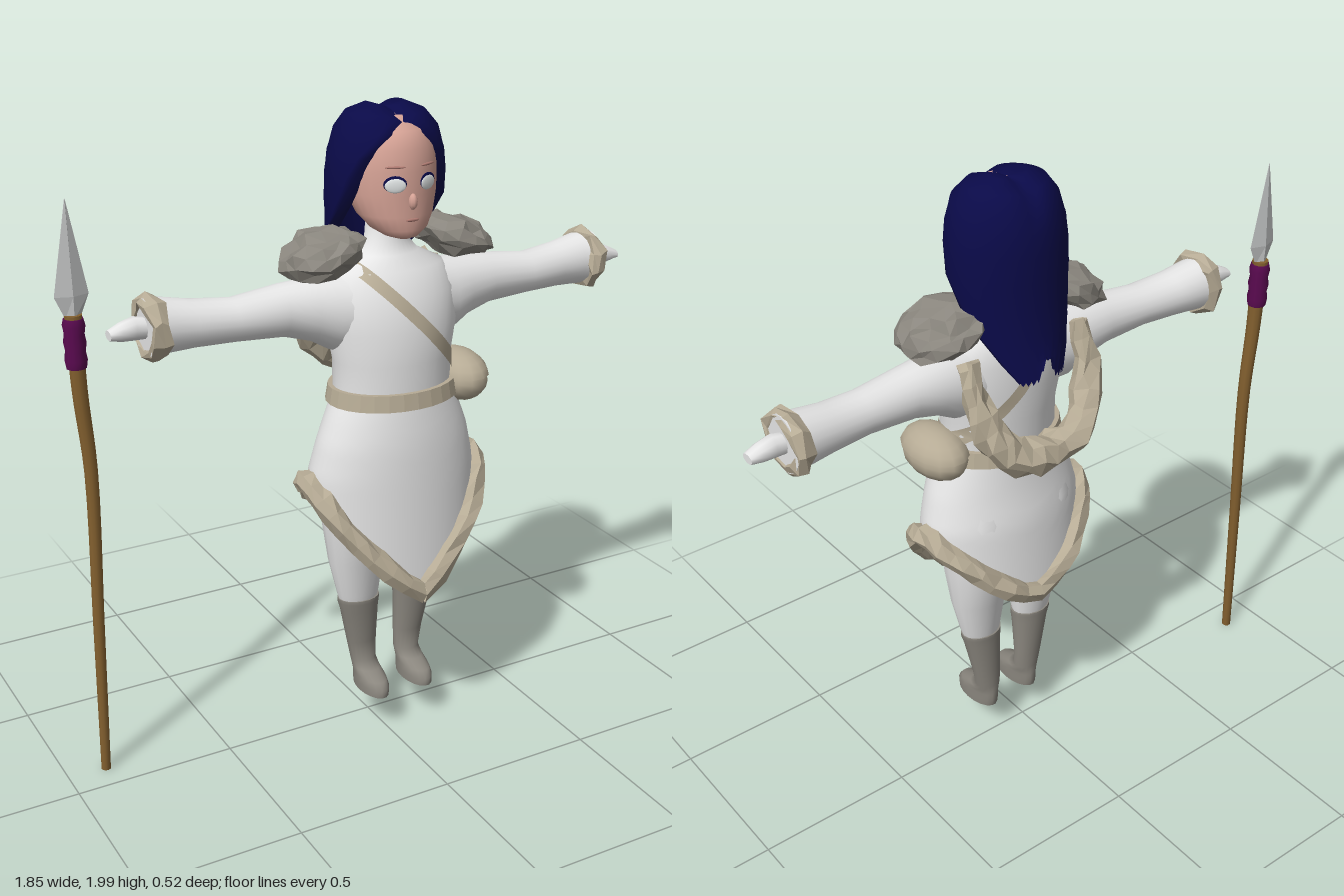
import * as THREE from 'three';

const V = (x, y, z) => new THREE.Vector3(x, y, z);
const mat = (name, color, side = THREE.FrontSide) => {
  const m = new THREE.MeshStandardMaterial({ color, side });
  m.name = name;
  return m;
};

// Skin a list of point rings; caps close the two ends
function loft(rings, { closed = true, caps = false } = {}) {
  const n = rings[0].length, pos = [], idx = [];
  const add = (p) => pos.push(p.x, p.y, p.z) / 3 - 1;
  rings.forEach((r) => r.forEach(add));
  for (let i = 0; i < rings.length - 1; i++) {
    for (let j = 0; j < (closed ? n : n - 1); j++) {
      const a = i * n + j, b = i * n + (j + 1) % n;
      idx.push(a, a + n, b, b, a + n, b + n);
    }
  }
  if (caps) {
    [rings[0], rings[rings.length - 1]].forEach((r, end) => {
      const c = add(r.reduce((s, p) => s.add(p), V(0, 0, 0)).divideScalar(n));
      const k = r.map(add);
      k.forEach((a, j) => (end ? idx.push(c, k[(j + 1) % n], a) : idx.push(c, a, k[(j + 1) % n])));
    });
  }
  const g = new THREE.BufferGeometry();
  g.setAttribute('position', new THREE.Float32BufferAttribute(pos, 3));
  g.setIndex(idx);
  g.computeVertexNormals();
  return g;
}

// Ellipse ring around direction t, with u as its first axis
function ring(c, t, u, ru, rv, n) {
  const v = u.clone().cross(t);
  return Array.from({ length: n }, (_, j) => {
    const a = (j / n) * Math.PI * 2;
    return c.clone().addScaledVector(u, ru * Math.cos(a)).addScaledVector(v, rv * Math.sin(a));
  });
}
// Horizontal ring from half-width and front / back depth
const level = (x, y, rx, zf, zb, n = 24) =>
  ring(V(x, y, (zf + zb) / 2), V(0, 1, 0), V(1, 0, 0), rx, (zf - zb) / 2, n);

// Tube with varying radius along a smooth path
function sweep(points, radius, sides, steps, ref, closed = false) {
  const curve = new THREE.CatmullRomCurve3(points, closed), rings = [];
  for (let i = 0; i <= steps; i++) {
    const k = i / steps, t = curve.getTangent(k);
    const u = ref.clone().cross(t).normalize();
    rings.push(ring(curve.getPoint(k), t, u, radius(k), radius(k), sides));
  }
  return loft(rings, { caps: !closed });
}

// Faceted look, with a repeatable position-based roughness for fur
function facet(geo, amount = 0) {
  const g = geo.index ? geo.toNonIndexed() : geo, p = g.attributes.position;
  const hash = (a, b, c) => {
    const s = Math.sin(Math.round(a * 1e4) * 0.127 + Math.round(b * 1e4) * 0.311 + Math.round(c * 1e4) * 0.747) * 4375.85;
    return (s - Math.floor(s) - 0.5) * amount;
  };
  for (let i = 0; i < p.count; i++) {
    const x = p.getX(i), y = p.getY(i), z = p.getZ(i);
    p.setXYZ(i, x + hash(x, y, z), y + hash(y, z, x), z + hash(z, x, y));
  }
  g.computeVertexNormals();
  return g;
}

// Dress profile: height, half-width, front, back
const PROFILE = [
  [0.5, 0.295, 0.23, -0.15], [0.9, 0.275, 0.215, -0.12], [1.0, 0.25, 0.21, -0.1], [1.08, 0.22, 0.2, -0.09],
  [1.15, 0.19, 0.19, -0.085], [1.25, 0.19, 0.19, -0.09], [1.35, 0.21, 0.19, -0.1], [1.45, 0.21, 0.165, -0.1],
  [1.52, 0.18, 0.125, -0.09], [1.56, 0.1, 0.09, -0.07], [1.6, 0.065, 0.07, -0.05], [1.66, 0.058, 0.065, -0.05],
];
function profileAt(y) {
  const i = Math.max(1, PROFILE.findIndex((s) => s[0] >= y));
  const a = PROFILE[i - 1], b = PROFILE[i], k = (y - a[0]) / (b[0] - a[0]);
  return [1, 2, 3].map((c) => a[c] + (b[c] - a[c]) * k);
}
function onDress(theta, y, out = 0) {
  const [rx, zf, zb] = profileAt(y);
  return V(Math.sin(theta) * (rx + out), y, (zf + zb) / 2 + Math.cos(theta) * ((zf - zb) / 2 + out));
}
function hemY(theta) {
  const s = Math.abs(Math.sin(theta));
  return Math.cos(theta) > 0 ? 0.53 + 0.25 * s + 0.1 * s ** 4 : 0.65 + 0.23 * s ** 1.5;
}

export function createModel() {
  const cloth = mat('white cloth', 0xe6e6e6, THREE.DoubleSide), skin = mat('skin', 0xd6a396);
  const lip = mat('lip', 0xb27d74), hairMat = mat('dark blue hair', 0x0a0a48, THREE.DoubleSide);
  const trim = mat('beige trim', 0xb6ab95, THREE.DoubleSide), grey = mat('grey fur and leather', 0x8a867e);
  const wood = mat('wood', 0x83602f), wrap = mat('purple wrap', 0x5a0a50);
  const metal = mat('steel', 0xc2c4c4), eyeMat = mat('eye white', 0xe2e6e6);
  const model = new THREE.Group(), figure = new THREE.Group();
  figure.name = 'figure';
  figure.position.x = 0.055;
  model.add(figure);
  const add = (name, geo, m, parent = figure) => {
    const mesh = new THREE.Mesh(geo, m);
    mesh.name = name;
    parent.add(mesh);
    return mesh;
  };

  // Bodice, and the open skirt with a pointed hem
  add('bodice', loft(PROFILE.slice(4).map(([y, ...r]) => level(0, y, ...r, 32)), { caps: true }), cloth);
  const angles = Array.from({ length: 48 }, (_, j) => (j / 48) * Math.PI * 2);
  const skirt = Array.from({ length: 13 }, (_, i) =>
    angles.map((t) => onDress(t, 1.15 + (hemY(t) - 1.15) * (i / 12))));
  add('skirt', loft(skirt), cloth);
  const hem = angles.filter((_, j) => j % 2 === 0).map((t) => onDress(t, hemY(t), 0.008));
  add('hemTrim', facet(sweep(hem, () => 0.035, 6, 36, V(0, 1, 0), true), 0.014), trim);

  // Belt, pouch and shoulder strap
  const belt = [[1.12, 0.2], [1.12, 0.212], [1.17, 0.204], [1.17, 0.19]];
  add('belt', facet(loft(belt.map(([y, r]) => level(0, y, r, r + 0.002, -r + 0.1, 28)))), trim);
  add('pouch', new THREE.SphereGeometry(1, 14, 10).scale(0.083, 0.077, 0.125).translate(0.222, 1.148, 0.065), trim);
  add('pouchFlap', new THREE.SphereGeometry(1, 14, 5, 0, Math.PI * 2, 0, 1.4).scale(0.088, 0.08, 0.13).translate(0.222, 1.152, 0.065), trim);
  for (const f of [1, -1]) {
    const rows = Array.from({ length: 17 }, (_, i) => [-f, f].map((e) => {
      const x = -0.14 + 0.35 * (i / 16) + e * 0.014, y = 1.545 - 0.365 * (i / 16) + e * 0.013;
      const [rx, zf, zb] = profileAt(y);
      const d = Math.sqrt(Math.max(0, 1 - (x / rx) ** 2)) * (zf - zb) / 2;
      return V(x, y, (zf + zb) / 2 + f * (d + 0.007));
    }));
    add(f > 0 ? 'strapFront' : 'strapBack', loft(rows, { closed: false }), trim);
  }

  // Lowered fur hood hanging on the back
  const hood = [[-0.2, 1.5, -0.08], [-0.195, 1.35, -0.13], [-0.13, 1.23, -0.175], [0, 1.185, -0.19],
    [0.13, 1.23, -0.175], [0.195, 1.35, -0.13], [0.2, 1.5, -0.08]].map((p) => V(...p));
  add('hood', facet(sweep(hood, (k) => 0.03 + 0.027 * Math.sin(k * Math.PI), 8, 18, V(0, 0, 1)), 0.022), trim);

  for (const s of [1, -1]) {
    const side = s > 0 ? 'left' : 'right';
    // Sleeve, cuff and hand
    const along = (list, n) => list.map(([x, y, z, ry, rz]) => ring(V(s * x, y, z), V(s, 0, 0), V(0, 0, 1), rz, ry, n));
    add(side + 'Sleeve', loft(along([[0.12, 1.4, 0.03, 0.12, 0.1], [0.2, 1.4, 0.02, 0.115, 0.095], [0.26, 1.415, 0.015, 0.095, 0.085],
      [0.35, 1.425, 0.01, 0.078, 0.075], [0.5, 1.42, 0.008, 0.064, 0.068], [0.62, 1.425, -0.005, 0.07, 0.07],
      [0.7, 1.43, -0.012, 0.08, 0.076], [0.76, 1.43, -0.012, 0.086, 0.08]], 20), { caps: true }), cloth);
    const cuff = new THREE.TorusGeometry(0.078, 0.025, 6, 9).rotateY(Math.PI / 2).scale(1.2, 1, 1).translate(s * 0.74, 1.43, -0.008);
    add(side + 'Cuff', facet(cuff, 0.018), trim);
    add(side + 'Hand', loft(along([[0.74, 1.43, -0.01, 0.03, 0.028], [0.79, 1.435, -0.01, 0.034, 0.032],
      [0.83, 1.43, -0.01, 0.027, 0.03], [0.865, 1.425, -0.01, 0.014, 0.024]], 10), { caps: true }), cloth);

    // Fur shoulder pad
    const pad = new THREE.IcosahedronGeometry(1, 2).scale(0.128, 0.06, 0.13).rotateZ(-s * 0.32).translate(s * 0.22, 1.582, 0.022);
    add(side + 'ShoulderFur', facet(pad, 0.025), grey);

    // Trouser leg and boot
    const stack = (list) => list.map(([x, ...r]) => level(s * x, ...r, 18));
    add(side + 'Leg', loft(stack([[0.1, 0.42, 0.06, 0.062, -0.025], [0.102, 0.46, 0.07, 0.072, -0.033], [0.108, 0.58, 0.092, 0.095, -0.055],
      [0.11, 0.7, 0.105, 0.125, -0.085], [0.11, 0.82, 0.115, 0.15, -0.105], [0.11, 0.92, 0.115, 0.15, -0.1], [0.1, 1.02, 0.1, 0.12, -0.07]])), cloth);
    add(side + 'Boot', loft(stack([[0.08, 0.125, 0.044, 0.155, -0.02], [0.08, 0.15, 0.045, 0.157, -0.024], [0.08, 0.172, 0.043, 0.14, -0.024],
      [0.08, 0.19, 0.042, 0.085, -0.023], [0.08, 0.21, 0.042, 0.05, -0.022], [0.086, 0.28, 0.05, 0.05, -0.025], [0.097, 0.4, 0.064, 0.066, -0.03],
      [0.1, 0.43, 0.07, 0.072, -0.034], [0.1, 0.442, 0.07, 0.072, -0.034]]), { caps: true }), grey);

    // Eye, lash and brow
    const turn = s * 0.4;
    const eye = (name, w, h, d, y, z, m) => add(name, new THREE.SphereGeometry(1, 14, 8).scale(w, h, d).rotateY(turn).translate(s * 0.053, y, z), m);
    eye(side + 'Lash', 0.034, 0.024, 0.004, 1.788, 0.155, hairMat);
    eye(side + 'Eye', 0.031, 0.021, 0.0049, 1.784, 0.157, eyeMat);
    eye(side + 'Brow', 0.03, 0.004, 0.004, 1.836, 0.155, lip);
  }

  // Head, nose and mouth
  const head = [[1.618, 0.02, 0.13, 0.06], [1.628, 0.05, 0.155, 0.03], [1.65, 0.085, 0.166, 0], [1.69, 0.115, 0.166, -0.05],
    [1.75, 0.136, 0.165, -0.1], [1.82, 0.14, 0.166, -0.12], [1.88, 0.132, 0.158, -0.12], [1.93, 0.105, 0.138, -0.1], [1.965, 0.06, 0.08, -0.06]];
  add('head', loft(head.map(([y, ...r]) => level(0, y, ...r, 28)), { caps: true }), skin);
  add('nose', new THREE.SphereGeometry(1, 10, 8).scale(0.013, 0.024, 0.017).translate(0, 1.735, 0.164), skin);
  add('mouth', new THREE.SphereGeometry(1, 12, 6).scale(0.022, 0.005, 0.004).translate(0, 1.682, 0.165), lip);

  // Parted hair: height, half-width, front, back, opening angle from the front
  const hairRows = [[2.0, 0.002, 0.002, -0.002, 0], [1.995, 0.06, 0.04, -0.045, 0], [1.97, 0.12, 0.105, -0.1, 1], [1.925, 0.155, 0.148, -0.132, 15],
    [1.86, 0.174, 0.162, -0.148, 38], [1.8, 0.181, 0.165, -0.154, 51], [1.72, 0.183, 0.16, -0.156, 65], [1.64, 0.176, 0.14, -0.158, 88],
    [1.56, 0.16, 0.1, -0.165, 104], [1.49, 0.145, 0.07, -0.175, 122], [1.42, 0.125, 0.05, -0.185, 138]];
  const cols = 36, hair = hairRows.map(([y, rx, zf, zb, deg], i) => Array.from({ length: cols + 1 }, (_, j) => {
    const a = THREE.MathUtils.degToRad(deg), t = a + (Math.PI - a) * 2 * (j / cols);
    const tuck = i > 2 && (j === 0 || j === cols) ? 0.84 : 1;
    const x = Math.sin(t) * rx * tuck, z = (zf + zb) / 2 + Math.cos(t) * tuck * (zf - zb) / 2;
    const part = i < 4 ? 0.02 * Math.exp(-((x / 0.03) ** 2)) : 0;
    const split = i === hairRows.length - 1 ? 0.07 * Math.exp(-((x / 0.02) ** 2)) + (j % 3) * 0.008 : 0;
    return V(x, y - part + split, z);
  }));
  add('hair', loft(hair, { closed: false }), hairMat);

  // Spear
  const spear = new THREE.Group();
  spear.name = 'spear';
  spear.position.set(-0.88, 0, -0.09);
  model.add(spear);
  const shaft = [[0, 0], [0.01, 0.5], [0.02, 1.0], [0.004, 1.25], [0, 1.475]].map(([x, y]) => V(x, y, 0));
  add('shaft', sweep(shaft, (k) => 0.015 + 0.011 * k, 10, 20, V(0, 0, 1)), wood, spear);
  const band = [[1.32, 0.029], [1.345, 0.033], [1.37, 0.029], [1.395, 0.033], [1.42, 0.029], [1.445, 0.033], [1.465, 0.028]];
  add('gripWrap', loft(band.map(([y, r]) => level(0, y, r, r, -r, 12)), { caps: true }), wrap, spear);
  const blade = [[1.465, 0.022, 0.014], [1.53, 0.05, 0.017], [1.8, 0.001, 0.001]];
  add('blade', facet(loft(blade.map(([y, r, d]) => level(0, y, r, d, -d, 4)), { caps: true })), metal, spear);
  return model;
}
